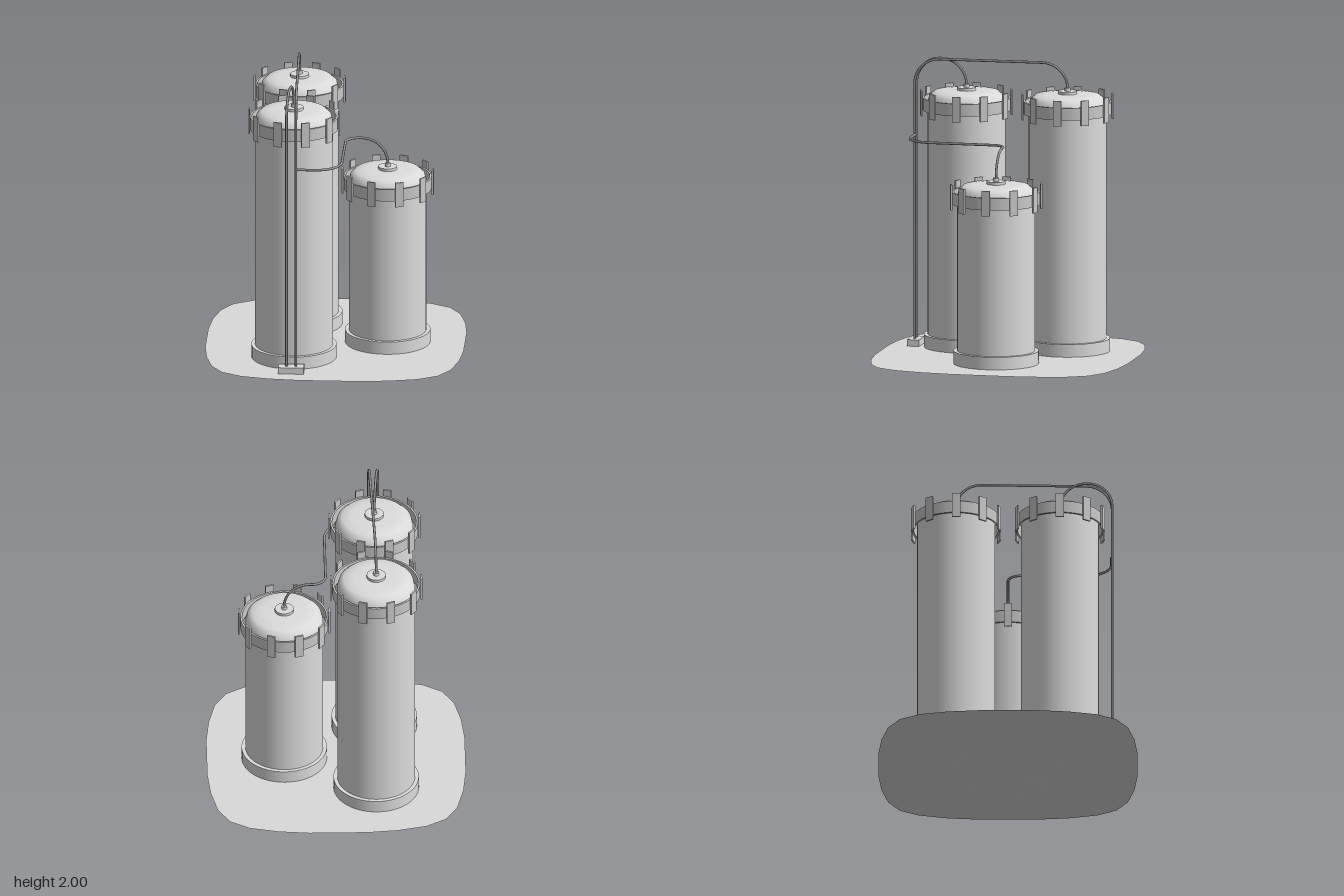
import * as THREE from 'three';

const mat = (name, color, side = THREE.FrontSide) => {
  const m = new THREE.MeshStandardMaterial({ color, side });
  m.name = name;
  return m;
};
const steel = mat('light grey steel', 0xdcdcdc);
const ground = mat('ground grey', 0xd9d9d9, THREE.DoubleSide);
const collar = mat('collar grey', 0xcacaca, THREE.DoubleSide);
const pipeGrey = mat('dark pipe grey', 0x929292);

const v3 = (x, y, z) => new THREE.Vector3(x, y, z);

function add(parent, name, geometry, material, x = 0, y = 0, z = 0) {
  const mesh = new THREE.Mesh(geometry, material);
  mesh.name = name;
  mesh.position.set(x, y, z);
  parent.add(mesh);
  return mesh;
}

// Pipe through corner points [x, y, z, bendRadius], each bend a near-circular arc
function pipe(parent, name, pts) {
  const path = new THREE.CurvePath();
  const p = pts.map(([x, y, z]) => v3(x, y, z));
  let from = p[0];
  const lineTo = (to) => {
    if (from.distanceTo(to) > 0.002) path.add(new THREE.LineCurve3(from, to));
  };
  for (let i = 1; i < p.length - 1; i++) {
    const r = pts[i][3];
    const a = p[i].clone().add(p[i - 1].clone().sub(p[i]).setLength(r));
    const b = p[i].clone().add(p[i + 1].clone().sub(p[i]).setLength(r));
    lineTo(a);
    path.add(new THREE.CubicBezierCurve3(a, a.clone().lerp(p[i], 0.55), b.clone().lerp(p[i], 0.55), b));
    from = b;
  }
  lineTo(p[p.length - 1]);
  add(parent, name, new THREE.TubeGeometry(path, 120, 0.009, 8), pipeGrey);
}

// Cylindrical tank whose dome peaks at height top
function tank(name, x, z, top) {
  const g = new THREE.Group();
  g.name = name;
  g.position.set(x, 0, z);

  add(g, 'foot', new THREE.CylinderGeometry(0.292, 0.292, 0.088, 48), steel, 0, 0.044, 0);
  const bodyH = top - 0.088 - 0.08;
  add(g, 'body', new THREE.CylinderGeometry(0.266, 0.266, bodyH, 48, 1, true), steel, 0, 0.088 + bodyH / 2, 0);

  const dome = [[0.266, -0.08], [0.255, -0.04], [0.222, -0.01], [0.15, -0.002], [0, 0]]
    .map(([r, y]) => new THREE.Vector2(r, y));
  add(g, 'dome', new THREE.LatheGeometry(dome, 48), steel, 0, top, 0);

  // Pipe fitting on the dome
  add(g, 'flange', new THREE.CylinderGeometry(0.065, 0.065, 0.02, 24), steel, 0, top + 0.008, 0);
  add(g, 'neck', new THREE.CylinderGeometry(0.02, 0.02, 0.025, 16), steel, 0, top + 0.028, 0);

  // Open collar band standing clear of the wall, with upright clamps
  const band = [[0.288, -0.137], [0.301, -0.137], [0.301, -0.052], [0.288, -0.052], [0.288, -0.137]];
  for (let i = 0; i < 4; i++) {
    const strip = [band[i], band[i + 1]].map(([r, y]) => new THREE.Vector2(r, y));
    add(g, 'collarBand', new THREE.LatheGeometry(strip, 48), collar, 0, top, 0);
  }
  const clampGeo = new THREE.BoxGeometry(0.058, 0.175, 0.012);
  const count = 10;
  for (let i = 0; i < count; i++) {
    const a = Math.PI / 2 + (i / count) * Math.PI * 2;
    const clamp = add(g, 'clamp', clampGeo, collar, Math.sin(a) * 0.309, top - 0.089, Math.cos(a) * 0.309);
    clamp.rotation.y = a;
  }
  return g;
}

export function createModel() {
  const model = new THREE.Group();
  model.name = 'storageTanks';

  // Flat ground pad with a softly squared outline
  const quarter = [[0.885, 0.2], [0.865, 0.41], [0.82, 0.605], [0.74, 0.74], [0.605, 0.82], [0.41, 0.865], [0.2, 0.885]];
  const outline = [];
  for (let q = 0; q < 4; q++) {
    for (const [x, y] of quarter) {
      outline.push(new THREE.Vector2(x, y).rotateAround(new THREE.Vector2(), q * Math.PI / 2));
    }
  }
  const pad = add(model, 'groundPad', new THREE.ShapeGeometry(new THREE.Shape(outline)), ground);
  pad.rotation.x = -Math.PI / 2;

  model.add(
    tank('tallTankFront', -0.268, 0.355, 1.78),
    tank('tallTankBack', -0.268, -0.355, 1.78),
    tank('shortTank', 0.354, 0, 1.243)
  );

  // Junction box and pipe runs
  add(model, 'junctionBox', new THREE.BoxGeometry(0.175, 0.045, 0.085), steel, -0.268, 0.0225, 0.71);
  pipe(model, 'frontTankPipe', [
    [-0.3, 0.04, 0.712], [-0.3, 1.989, 0.712, 0.175], [-0.27, 1.989, 0.355, 0.175], [-0.268, 1.8, 0.355]
  ]);
  pipe(model, 'backTankPipe', [
    [-0.235, 0.04, 0.712], [-0.235, 1.989, 0.712, 0.175], [-0.268, 1.989, -0.355, 0.175], [-0.268, 1.8, -0.355]
  ]);
  pipe(model, 'shortTankPipe', [
    [-0.235, 1.46, 0.708], [0.07, 1.46, 0.708, 0.175], [0.07, 1.46, 0, 0.09],
    [0.354, 1.46, 0, 0.175], [0.354, 1.26, 0]
  ]);
  return model;
}
